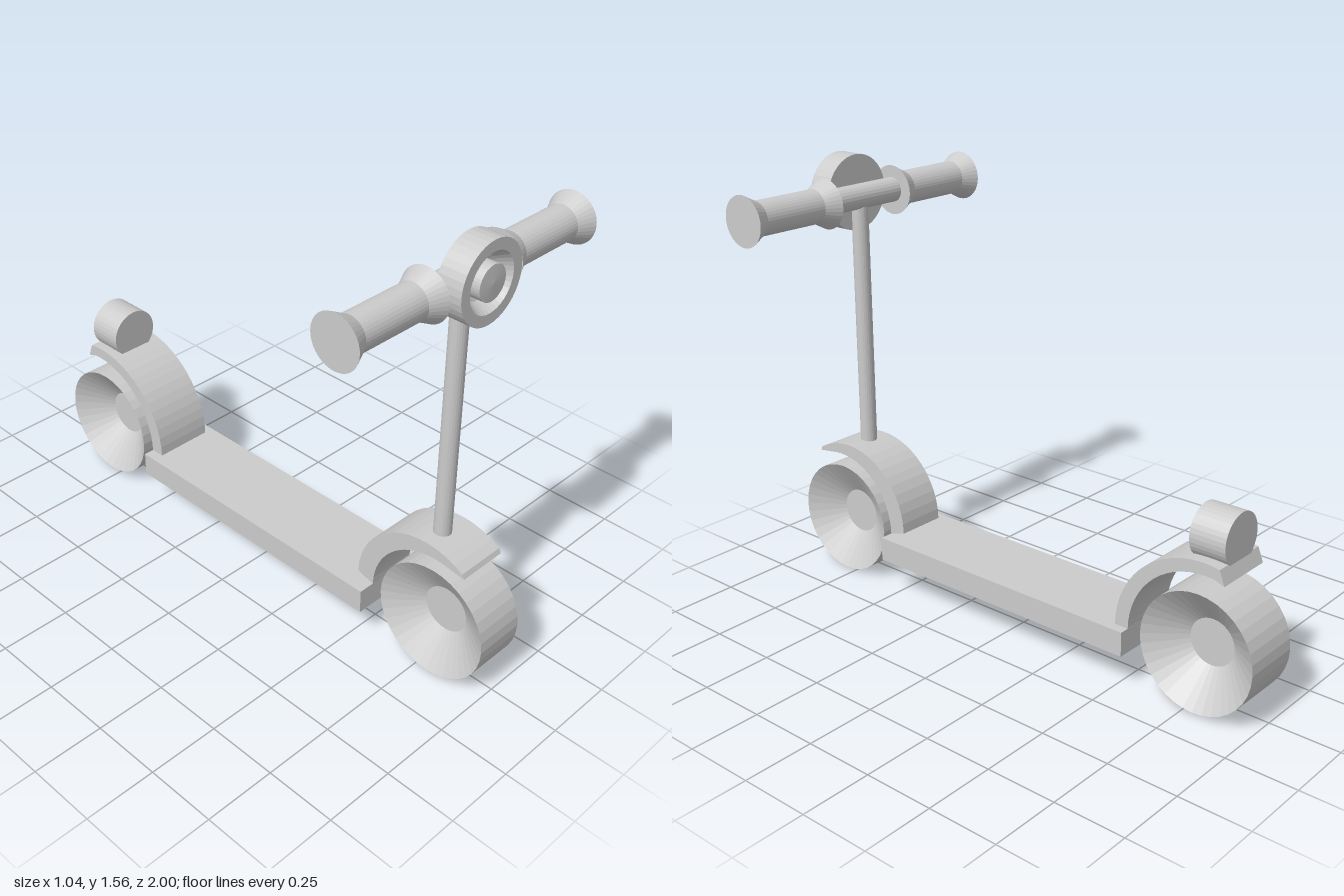
import * as THREE from 'three';

const material = new THREE.MeshStandardMaterial({
  color: 0xcccccc, flatShading: true, side: THREE.DoubleSide,
});

export function createModel() {
  const scooter = new THREE.Group();
  scooter.name = 'scooter';

  const add = (name, geometry, x, y, z) => {
    const mesh = new THREE.Mesh(geometry, material);
    mesh.name = name;
    mesh.position.set(x, y, z);
    scooter.add(mesh);
    return mesh;
  };
  const lathe = (points, segments = 36) =>
    new THREE.LatheGeometry(points.map(([r, h]) => new THREE.Vector2(r, h)), segments);

  // Deck
  add('deck', new THREE.BoxGeometry(0.29, 0.087, 1.085), 0.007, 0.1735, 0.007);

  // Wheels: flat tread with deep conical dishes running in to a small hub disc
  const wheel = (name, halfWidth, x, y, z) => {
    const hub = halfWidth * 0.1;
    const profile = [[0, -hub], [0.082, -hub], [0.208, -halfWidth],
      [0.208, halfWidth], [0.082, hub], [0, hub]];
    add(name, lathe(profile).rotateZ(-Math.PI / 2), x, y, z);
  };
  wheel('frontWheel', 0.092, 0.011, 0.211, 0.794);
  wheel('rearWheel', 0.11, 0.007, 0.219, -0.791);

  // Fenders: crescent between two offset arcs, side profile drawn as (z, y)
  const fender = (name, width, x, side, outer, inner, tip) => {
    const arc = ({ z, y, r, end }, steps = 16) => Array.from({ length: steps + 1 }, (_, i) => {
      const a = Math.PI - (Math.PI - end) * i / steps;
      return new THREE.Vector2(side * (z + r * Math.cos(a)), y + r * Math.sin(a));
    });
    const outline = [...arc(outer), new THREE.Vector2(side * tip[0], tip[1]), ...arc(inner).reverse()];
    const geometry = new THREE.ExtrudeGeometry(new THREE.Shape(outline),
      { depth: width, bevelEnabled: false });
    geometry.translate(0, 0, -width / 2).rotateY(-Math.PI / 2);
    add(name, geometry, x, 0, 0);
  };
  fender('frontFender', 0.182, 0.011, 1,
    { z: 0.76, y: 0.235, r: 0.275, end: 1.02 },
    { z: 0.8, y: 0.217, r: 0.25, end: 1.48 }, [0.912, 0.453]);
  fender('rearFender', 0.217, 0.009, -1,
    { z: 0.805, y: 0.217, r: 0.321, end: 1.38 },
    { z: 0.815, y: 0.217, r: 0.28, end: 1.45 }, [0.885, 0.482]);

  // Steering column and handlebar
  add('stem', new THREE.CylinderGeometry(0.03, 0.03, 0.92, 24), 0.002, 0.96, 0.755);
  add('handlebar', new THREE.CylinderGeometry(0.044, 0.044, 0.6, 24).rotateZ(Math.PI / 2),
    0, 1.42, 0.755);

  // Grips flared at both ends
  const grip = [[0, -0.18], [0.088, -0.18], [0.06, -0.125],
    [0.06, 0.125], [0.088, 0.18], [0, 0.18]];
  for (const [name, side] of [['leftGrip', 1], ['rightGrip', -1]]) {
    add(name, lathe(grip).rotateZ(-Math.PI / 2), side * 0.34, 1.418, 0.755);
  }

  // Headlight: housing with a sunken reflector, and a bulb just proud of the rim
  const housing = [[0, 0], [0.134, 0], [0.134, 0.09], [0.097, 0.09],
    [0.072, 0.045], [0.05, 0.035], [0, 0.035]];
  add('headlight', lathe(housing).rotateX(Math.PI / 2), 0, 1.432, 0.768);
  const bulb = [[0.058, 0], [0.058, 0.062], [0, 0.066]];
  add('headlightBulb', lathe(bulb).rotateX(Math.PI / 2), 0, 1.432, 0.798);

  // Tail light on the rear fender
  add('tailLight', new THREE.CylinderGeometry(0.09, 0.09, 0.13, 36).rotateX(Math.PI / 2),
    0.006, 0.594, -0.803);

  return scooter;
}
